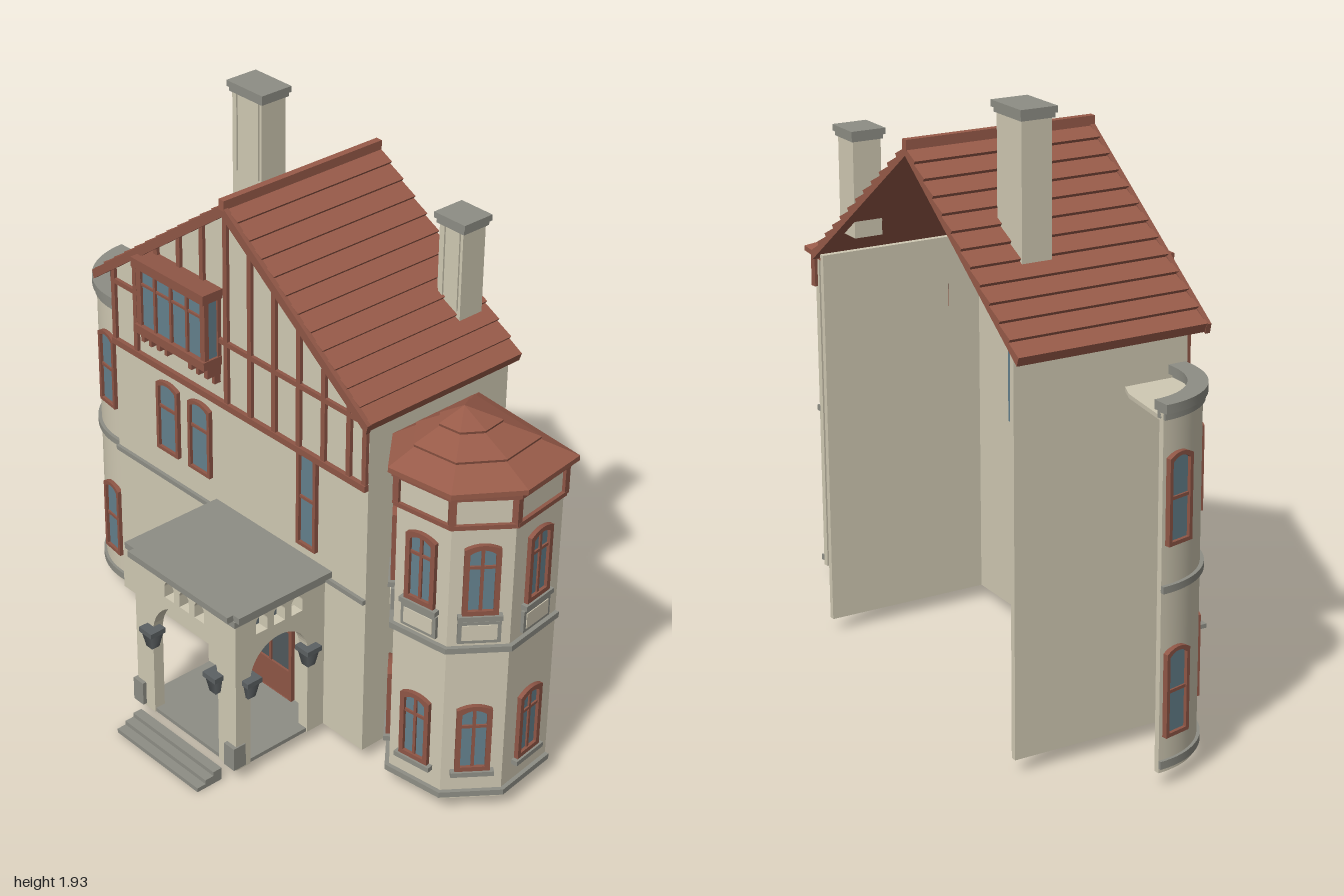
import * as THREE from 'three';
import { toCreasedNormals } from 'three/addons/utils/BufferGeometryUtils.js';

const mat = (name, color, side = THREE.FrontSide) => Object.assign(new THREE.MeshStandardMaterial({ color, side }), { name });

export function createModel() {
  const root = new THREE.Group();
  root.name = 'house';
  const cream = mat('cream render', 0xd0c9b3), brick = mat('red roof tile', 0x985b49), timber = mat('red timber', 0x8f5646);
  const glass = mat('blue glass', 0x64808c), stone = mat('grey stone', 0x8e8e85), iron = mat('dark corbel', 0x5c6163), dark = mat('dark door glass', 0x50595c);

  const add = (name, geo, m, parent = root) => {
    const mesh = new THREE.Mesh(geo, m);
    mesh.name = name;
    parent.add(mesh);
    return mesh;
  };
  const box = (name, m, x0, x1, y0, y1, z0, z1, parent = root) => {
    const mesh = add(name, new THREE.BoxGeometry(x1 - x0, y1 - y0, z1 - z0), m, parent);
    mesh.position.set((x0 + x1) / 2, (y0 + y1) / 2, (z0 + z1) / 2);
    return mesh;
  };
  const extrude = (shape, depth, z = 0) =>
    new THREE.ExtrudeGeometry(shape, { depth, bevelEnabled: false, curveSegments: 12 }).translate(0, 0, z);
  const poly = pts => new THREE.Shape(pts.map(p => new THREE.Vector2(p[0], p[1])));

  // Shift a plan polyline [x, z] sideways with mitred corners
  const offset = (pts, d) => pts.map((p, i) => {
    const normal = (a, b) => { const l = Math.hypot(b[0] - a[0], b[1] - a[1]); return [-(b[1] - a[1]) / l, (b[0] - a[0]) / l]; };
    const n1 = i > 0 ? normal(pts[i - 1], p) : normal(p, pts[i + 1]);
    const n2 = i < pts.length - 1 ? normal(p, pts[i + 1]) : n1;
    const k = d / (1 + n1[0] * n2[0] + n1[1] * n2[1]);
    return [p[0] + (n1[0] + n2[0]) * k, p[1] + (n1[1] + n2[1]) * k];
  });
  const slab = (name, m, plan, y0, y1) =>
    add(name, toCreasedNormals(extrude(poly(plan.map(p => [p[0], -p[1]])), y1 - y0).rotateX(-Math.PI / 2).translate(0, y0, 0), 0.4), m);
  const strip = (name, m, pts, out, inn, y0, y1) => slab(name, m, [...offset(pts, out), ...offset(pts, -inn).reverse()], y0, y1);

  // Window: glass through the wall, raised frame, bars
  const opening = (w, h, rise) => {
    const s = new THREE.Shape();
    s.moveTo(-w / 2, 0);
    s.lineTo(w / 2, 0);
    s.lineTo(w / 2, h - rise);
    s.quadraticCurveTo(0, h + rise, -w / 2, h - rise);
    s.closePath();
    return s;
  };
  const windowUnit = (name, x, y, z, angle, w, h, { rise = 0.015, transom = 0.6, mullion = false, pane = glass, t = 0.012 } = {}) => {
    const g = new THREE.Group();
    g.name = name;
    g.position.set(x, y, z);
    g.rotation.y = angle;
    root.add(g);
    add('pane', extrude(opening(w - t, h - t, rise).clone(), 0.033, -0.029).translate(0, t / 2, 0), pane, g);
    const ring = opening(w, h, rise);
    ring.holes.push(new THREE.Path(opening(w - 2 * t, h - 2 * t, rise).getPoints(12).map(p => p.add(new THREE.Vector2(0, t)))));
    add('frame', extrude(ring, 0.017, -0.002), timber, g);
    if (transom) box('transom', timber, -w / 2 + t, w / 2 - t, h * transom, h * transom + 0.01, 0, 0.01, g);
    if (mullion) box('mullion', timber, -0.005, 0.005, t, h - t, 0, 0.01, g);
    return g;
  };

  // Main walls, open at the back
  const ridgeX = -0.0925, slopeY = x => 1.74 - 0.728 * Math.abs(x - ridgeX);
  const front = poly([[-0.70, 0.045], [0.515, 0.045], [0.515, slopeY(0.515)], [ridgeX, 1.74], [-0.70, slopeY(-0.70)]]);
  front.holes.push(poly([[-0.47, 1.21], [-0.47, 1.41], [-0.19, 1.41], [-0.19, 1.21]]));
  add('frontWall', extrude(front, 0.02, 0.03), cream);
  box('rightWall', cream, -0.70, -0.68, 0.045, 1.295, -0.535, 0.03);
  box('leftWall', cream, 0.495, 0.515, 0.045, 1.295, -0.535, 0.03);
  box('beltCourse', stone, -0.70, 0.515, 0.615, 0.631, 0.05, 0.062);

  // Lapped tile roof
  const rows = 12, top = [];
  for (let i = 0; i < rows; i++) for (const [t, lift] of [[i / rows, 0], [(i + 1) / rows, 0.012]])
    top.push([0.6525 * t + 0.6 * lift * (t < 1 ? 1 : 0), 1.765 - 0.475 * t + 0.8 * lift]);
  const under = [[0.6425, 1.272], [0, 1.74]];
  const right = [...top, under[0]].map(p => [ridgeX + p[0], p[1]]);
  const left = [...top.slice(1), under[0]].reverse().map(p => [ridgeX - p[0], p[1]]);
  add('mainRoof', extrude(poly([...left, ...right, [ridgeX, 1.74]]), 0.635, -0.545), brick);
  box('ridgeCap', brick, ridgeX - 0.012, ridgeX + 0.012, 1.755, 1.79, -0.547, 0.102);
  for (const s of [-1, 1]) {
    const board = [[0, 1.772], [0.652, 1.297], [0.645, 1.267], [0, 1.733]].map(p => [ridgeX + s * p[0], p[1]]);
    add('bargeBoard', extrude(poly(board), 0.017, 0.085), timber);
  }

  // Half timbering on the gable
  box('sillBeam', timber, -0.70, 0.515, 1.03, 1.052, 0.05, 0.066);
  box('gableRail', timber, -0.70, -0.49, 1.258, 1.275, 0.05, 0.062);
  box('gableRail', timber, -0.165, 0.515, 1.258, 1.275, 0.05, 0.062);
  for (let i = 0; i < 12; i++) {
    const x = i === 11 ? 0.505 : -0.69 + i * 0.1125, y0 = x > -0.5 && x < -0.16 ? 1.44 : 1.05;
    box('gableStud', timber, x - 0.009, x + 0.009, y0, slopeY(x) + 0.005, 0.05, 0.062);
  }

  // Oriel window in the gable
  box('orielSill', timber, -0.50, -0.157, 1.178, 1.208, 0.05, 0.125);
  box('orielHead', timber, -0.505, -0.152, 1.415, 1.448, 0.05, 0.13);
  box('orielGlass', glass, -0.487, -0.17, 1.2, 1.42, 0.1, 0.108);
  for (const x of [-0.487, -0.17]) {
    box('orielSideGlass', glass, x - 0.004, x + 0.004, 1.2, 1.42, 0.05, 0.106);
    box('orielBackPost', timber, x - 0.01, x + 0.01, 1.2, 1.42, 0.05, 0.064);
  }
  for (let i = 0; i < 5; i++) {
    const x = -0.485 + i * 0.0783, w = i % 4 ? 0.005 : 0.011;
    box('orielMullion', timber, x - w, x + w, 1.2, 1.42, 0.1, 0.117);
    if (i !== 2) {
      box('orielBracket', timber, x - 0.008, x + 0.008, 1.14, 1.18, 0.05, 0.105);
      box('orielBracketFoot', timber, x - 0.007, x + 0.007, 1.11, 1.14, 0.05, 0.075);
    }
  }
  box('orielTransom', timber, -0.487, -0.17, 1.352, 1.36, 0.1, 0.115);

  // Front windows
  windowUnit('pairWindow', -0.423, 0.73, 0.05, 0, 0.108, 0.265);
  windowUnit('pairWindow', -0.263, 0.73, 0.05, 0, 0.108, 0.265);
  windowUnit('stairWindow', 0.252, 0.697, 0.05, 0, 0.088, 0.345, { rise: 0.002, transom: 0.5 });

  // Front door
  const door = windowUnit('frontDoor', 0.083, 0.045, 0.05, 0, 0.217, 0.395, { rise: 0.016, transom: 0.7, mullion: true, pane: dark, t: 0.014 });
  box('doorPanel', timber, -0.1, 0.1, 0.005, 0.125, 0, 0.012, door);

  // Chimneys
  const chimney = (x0, x1, y0, y1, z0, z1) => {
    box('chimneyStack', cream, x0, x1, y0, y1 - 0.02, z0, z1);
    box('chimneyCollar', stone, x0 - 0.008, x1 + 0.008, y1 - 0.035, y1 - 0.02, z0 - 0.006, z1 + 0.006);
    box('chimneyCap', stone, x0 - 0.016, x1 + 0.014, y1 - 0.02, y1, z0 - 0.012, z1 + 0.01);
    for (const x of [x0 + 0.018, x1 - 0.018]) box('chimneyRib', cream, x - 0.008, x + 0.008, y1 - 0.3, y1 - 0.035, z1, z1 + 0.006);
  };
  chimney(-0.485, -0.345, 1.46, 1.935, -0.38, -0.28);
  chimney(0.315, 0.415, 1.39, 1.732, -0.51, -0.415);

  // Quarter-round bay
  const bay = [];
  for (let i = 0; i <= 20; i++) {
    const a = Math.PI - (i / 20) * Math.PI / 2;
    bay.push([-0.735 + 0.25 * Math.cos(a), -0.22 + 0.25 * Math.sin(a)]);
  }
  bay.push([-0.69, 0.03]);
  strip('bayWall', cream, bay, 0, 0.02, 0.045, 1.15);
  strip('bayPlinth', stone, bay, 0.01, 0.01, 0.06, 0.085);
  strip('bayBelt', stone, bay, 0.012, 0.005, 0.612, 0.634);
  strip('bayFrieze', stone, bay, 0.008, 0.03, 1.132, 1.152);
  strip('bayCornice', stone, bay, 0.015, 0.045, 1.152, 1.18);
  slab('bayFlatRoof', cream, [...offset(bay, -0.01), [-0.69, -0.16], [-0.76, -0.19]], 1.125, 1.138);
  for (const deg of [7, 77]) for (const y of [0.16, 0.755]) {
    const a = -deg * Math.PI / 180;
    windowUnit('bayWindow', -0.735 + 0.25 * Math.sin(a), y, -0.22 + 0.25 * Math.cos(a), a, 0.094, 0.278, { transom: 0.49 });
  }

  // Polygonal corner turret
  const tower = [[0.51, -0.085], [0.65, 0.06], [0.85, 0.033], [0.965, -0.12], [0.936, -0.35]];
  strip('turretWall', cream, tower, 0, 0.02, 0.045, 1.18);
  strip('turretPlinth', stone, tower, 0.014, 0, 0.06, 0.08);
  strip('turretBelt', stone, tower, 0.014, 0.004, 0.612, 0.632);
  strip('turretBeam', timber, tower, 0.012, 0, 1.055, 1.07);
  strip('turretPlate', timber, tower, 0.02, 0.02, 1.16, 1.182);
  for (let i = 0; i < 4; i++) {
    const [a, b] = [tower[i], tower[i + 1]], x = (a[0] + b[0]) / 2, z = (a[1] + b[1]) / 2;
    const angle = Math.atan2(a[1] - b[1], b[0] - a[0]);
    for (const y of [0.16, 0.75]) {
      const g = windowUnit('turretWindow', x, y, z, angle, 0.11, 0.25, { transom: 0.66, mullion: true, t: 0.016 });
      box('windowSill', stone, -0.068, 0.068, -0.017, 0, 0, 0.022, g);
      if (y > 0.5) {
        box('apronFrame', stone, -0.066, 0.066, -0.102, -0.025, 0, 0.012, g);
        box('apronPanel', cream, -0.054, 0.054, -0.09, -0.036, 0.012, 0.015, g);
      }
    }
    for (const [px, pz] of i === 3 ? [a, b] : [a])
      box('turretPost', timber, px - 0.011, px + 0.011, 1.06, 1.17, pz - 0.011, pz + 0.011).rotation.y = angle;
  }

  // Turret roof in three lapped tiers
  const eave = [[0.515, -0.045], [0.642, 0.096], [0.872, 0.064], [1.0, -0.123], [0.968, -0.374], [0.515, -0.41]];
  const tiers = [[0, 1.178], [1, 1.178], [1, 1.195], [0.66, 1.237], [0.67, 1.246], [0.33, 1.281], [0.34, 1.29], [0, 1.325]];
  const at = (i, [f, y]) => { const p = eave[i % eave.length]; return [0.69 + (p[0] - 0.69) * f, y, -0.165 + (p[1] + 0.165) * f]; };
  const verts = [];
  for (let k = 0; k < tiers.length - 1; k++) for (let i = 0; i < eave.length; i++) {
    const a = at(i, tiers[k]), b = at(i + 1, tiers[k]), c = at(i + 1, tiers[k + 1]), d = at(i, tiers[k + 1]);
    if (tiers[k][0]) verts.push(...a, ...b, ...c);
    if (tiers[k + 1][0]) verts.push(...a, ...c, ...d);
  }
  const cone = new THREE.BufferGeometry();
  cone.setAttribute('position', new THREE.Float32BufferAttribute(verts, 3));
  cone.computeVertexNormals();
  add('turretRoof', cone, brick);

  // Porch: arched panels with three small lights above each arch
  const archPanel = (x0, x1, r, spring, gap) => {
    const s = new THREE.Shape();
    s.moveTo(x0, 0.045);
    s.lineTo(-r, 0.045);
    s.lineTo(-r, spring);
    s.absarc(0, spring, r, Math.PI, 0, true);
    s.lineTo(r, 0.045);
    s.lineTo(x1, 0.045);
    s.lineTo(x1, 0.62);
    s.lineTo(x0, 0.62);
    s.closePath();
    for (const c of [-gap, 0, gap]) {
      const h = new THREE.Path();
      h.moveTo(c - 0.023, 0.537);
      h.lineTo(c + 0.023, 0.537);
      h.absarc(c, 0.577, 0.023, 0, Math.PI, false);
      h.closePath();
      s.holes.push(h);
    }
    return extrude(s, 0.04);
  };
  add('porchFront', archPanel(-0.245, 0.245, 0.16, 0.36, 0.073), cream).position.set(0.085, 0, 0.38);
  for (const x of [-0.12, 0.33]) {
    const side = add('porchSide', archPanel(-0.19, 0.14, 0.12, 0.37, 0.073), cream);
    side.rotation.y = -Math.PI / 2;
    side.position.set(x, 0, 0.24);
  }
  box('porchFloor', stone, -0.155, 0.325, 0.044, 0.058, 0.05, 0.415);
  box('porchCornice', stone, -0.175, 0.345, 0.613, 0.636, 0.05, 0.435);
  box('porchRoof', stone, -0.192, 0.362, 0.636, 0.658, 0.05, 0.432);
  box('porchRoofFront', stone, -0.145, 0.335, 0.636, 0.658, 0.432, 0.456);

  // Corbels at the arch springings
  const corbel = (x, z) => {
    const c = add('corbel', new THREE.CylinderGeometry(0.036, 0.021, 0.06, 4, 1).rotateY(Math.PI / 4), iron);
    c.position.set(x, 0.345, z);
    box('corbelCap', iron, x - 0.03, x + 0.03, 0.37, 0.388, z - 0.03, z + 0.03);
  };
  for (const x of [-0.072, 0.242]) corbel(x, 0.425);
  for (const x of [-0.158, 0.328]) for (const z of [0.365, 0.115]) corbel(x, z);
  for (const x of [-0.167, 0.287]) box('porchPlinth', stone, x, x + 0.048, 0.055, 0.14, 0.385, 0.434);

  // Entrance steps
  for (let i = 0; i < 3; i++)
    box('entranceStep', stone, -0.117, 0.287, i * 0.015, (i + 1) * 0.015, 0.445, 0.545 - i * 0.033);
  return root;
}
